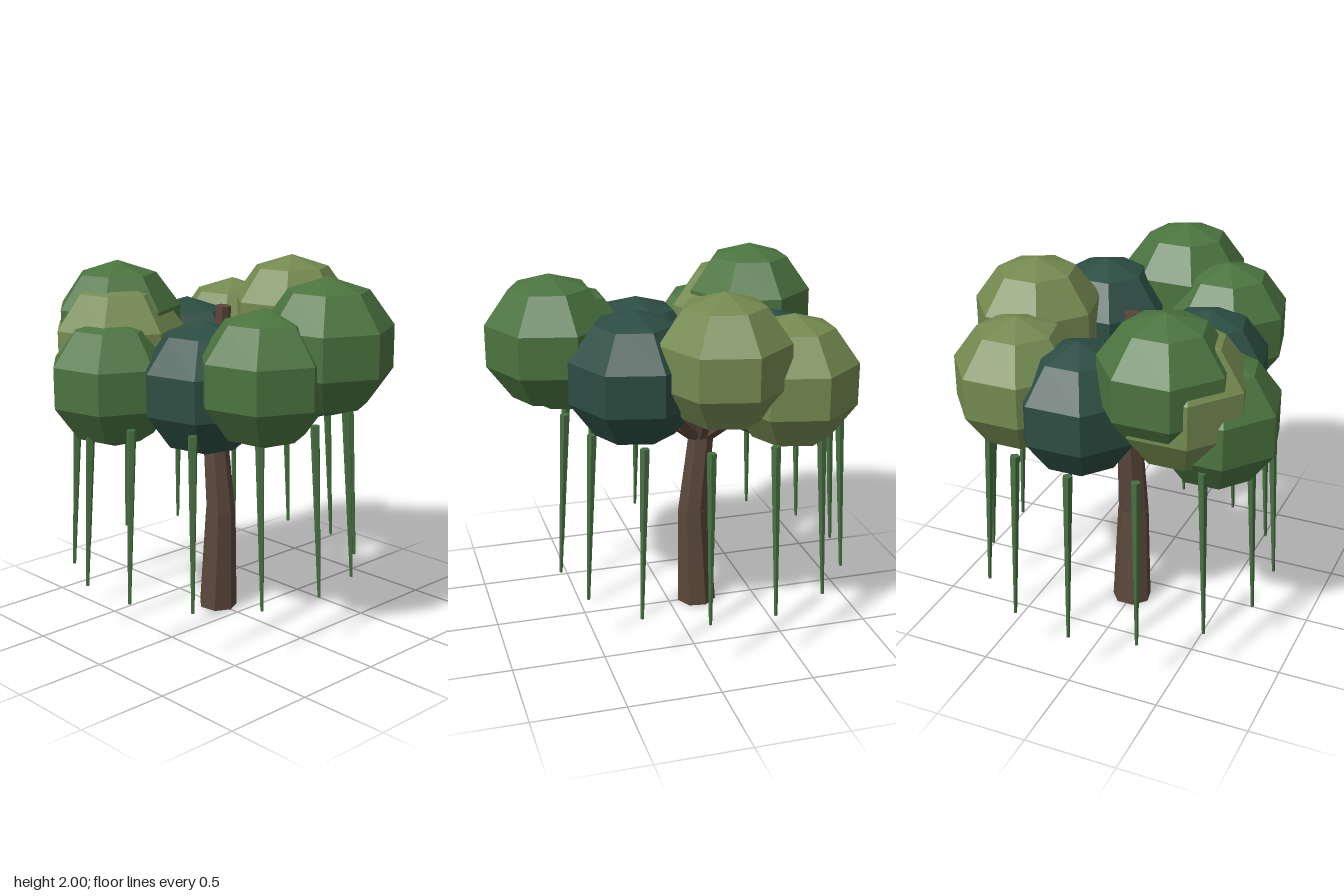
import * as THREE from 'three';

const mat = (color) => new THREE.MeshStandardMaterial({ color, flatShading: true });

export function createModel() {
  const tree = new THREE.Group();
  tree.name = 'tree';
  const bark = mat(0x5a473b), vine = mat(0x467040);
  const green = mat(0x4b743f), olive = mat(0x748a50), dark = mat(0x2c4d43);

  // Tapered limb between two points
  function limb(name, from, to, r0, r1, sides, material, parent = tree) {
    const a = new THREE.Vector3(...from), b = new THREE.Vector3(...to);
    const dir = b.clone().sub(a);
    const geo = new THREE.CylinderGeometry(r1, r0, dir.length(), sides);
    geo.rotateY(Math.PI / 2);
    const mesh = new THREE.Mesh(geo, material);
    mesh.name = name;
    mesh.position.copy(a).add(b).multiplyScalar(0.5);
    mesh.quaternion.setFromUnitVectors(new THREE.Vector3(0, 1, 0), dir.normalize());
    parent.add(mesh);
  }

  // Trunk in two leaning sections, with a bare leader on top
  limb('lowerTrunk', [-0.165, 0.006, 0], [-0.14, 0.585, 0], 0.11, 0.087, 7, bark);
  limb('upperTrunk', [-0.138, 0.575, 0], [-0.185, 1.05, 0], 0.085, 0.07, 7, bark);
  limb('leader', [-0.19, 1.0, 0], [-0.12, 1.76, -0.01], 0.055, 0.042, 7, bark);

  // Foliage clumps: x, y, z, radius, material, has a branch
  const clumps = [
    [-0.57, 1.64, 0.36, 0.36, green, true],
    [-0.38, 1.385, 0.56, 0.36, green, false],
    [0.5, 1.5, 0.295, 0.36, green, false],
    [0.645, 1.64, -0.01, 0.36, green, true],
    [-0.13, 1.63, -0.555, 0.36, olive, true],
    [-0.5, 1.54, 0.42, 0.375, olive, false],
    [-0.53, 1.465, -0.47, 0.36, olive, true],
    [0.1, 1.39, 0.33, 0.36, dark, true],
    [0.28, 1.51, -0.335, 0.36, dark, true],
    [-0.54, 1.39, -0.12, 0.36, dark, true],
  ];
  const foliage = new THREE.Group(), branches = new THREE.Group();
  foliage.name = 'foliage';
  branches.name = 'branches';
  for (const [x, y, z, r, material, hasBranch] of clumps) {
    const geo = new THREE.SphereGeometry(r, 7, 5);
    geo.rotateY(Math.PI);
    const clump = new THREE.Mesh(geo, material);
    clump.name = 'foliageClump';
    clump.position.set(x, y, z);
    foliage.add(clump);
    if (hasBranch) limb('branch', [-0.18, 1.0, 0], [x, y, z], 0.042, 0.025, 6, bark, branches);
  }
  tree.add(foliage, branches);

  // Ring of hanging vines, flaring outwards as they narrow
  const vines = new THREE.Group();
  vines.name = 'hangingVines';
  for (let i = 0; i < 14; i++) {
    const a = (i / 14) * Math.PI * 2, c = Math.cos(a), s = Math.sin(a);
    limb('vine', [-0.18 + 0.81 * c, 0.28, 0.81 * s], [-0.18 + 0.76 * c, 1.22, 0.76 * s],
      0.009, 0.026, 5, vine, vines);
  }
  tree.add(vines);
  return tree;
}
